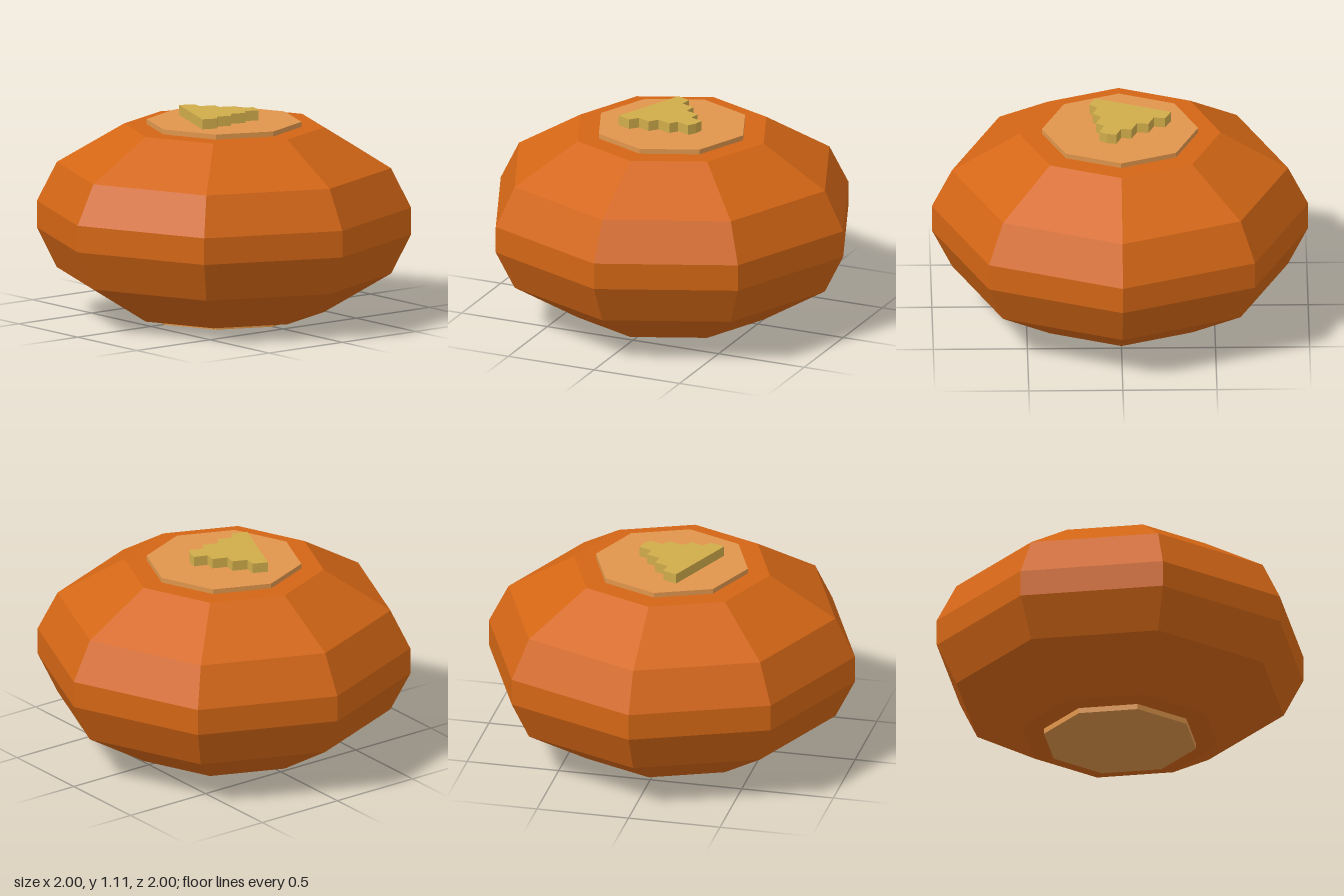
import * as THREE from 'three';

const SIDES = 8;

function addPart(group, name, geometry, color, y = 0) {
  const material = new THREE.MeshStandardMaterial({ color, flatShading: true });
  const mesh = new THREE.Mesh(geometry, material);
  mesh.name = name;
  mesh.position.y = y;
  group.add(mesh);
}

export function createModel() {
  const group = new THREE.Group();
  group.name = 'octagonalStone';

  // Faceted octagonal body, closed at both ends
  const profile = [
    [0, 0.03], [0.535, 0.03], [0.893, 0.245], [1, 0.458],
    [1, 0.602], [0.893, 0.814], [0.535, 1.028], [0, 1.028],
  ].map(([r, y]) => new THREE.Vector2(r, y));
  addPart(group, 'body', new THREE.LatheGeometry(profile, SIDES), 0xd36615);

  // Thin plates on the top and bottom, slightly sunk into the body
  const plate = new THREE.CylinderGeometry(0.415, 0.415, 0.035, SIDES);
  addPart(group, 'topPlate', plate, 0xe0964c, 1.0375);
  addPart(group, 'bottomPlate', plate, 0xe0964c, 0.0175);

  // Raised wedge with two stepped edges, outlined as x, z
  const outline = [
    [-0.273, 0.086], [-0.24, 0.01], [-0.18, 0.02], [-0.15, -0.056],
    [-0.09, -0.046], [-0.06, -0.121], [-0.004, -0.112], [0.022, -0.182],
    [0.072, -0.172], [0.112, -0.145], [0.085, -0.074], [0.128, -0.043],
    [0.1, 0.033], [0.145, 0.07], [0.118, 0.14], [0.16, 0.177], [0.13, 0.253],
  ];
  const shape = new THREE.Shape(outline.map(([x, z]) => new THREE.Vector2(x, -z)));
  const wedge = new THREE.ExtrudeGeometry(shape, { depth: 0.055, bevelEnabled: false });
  wedge.rotateX(-Math.PI / 2);
  addPart(group, 'steppedWedge', wedge, 0xd0ac4a, 1.054);

  return group;
}
